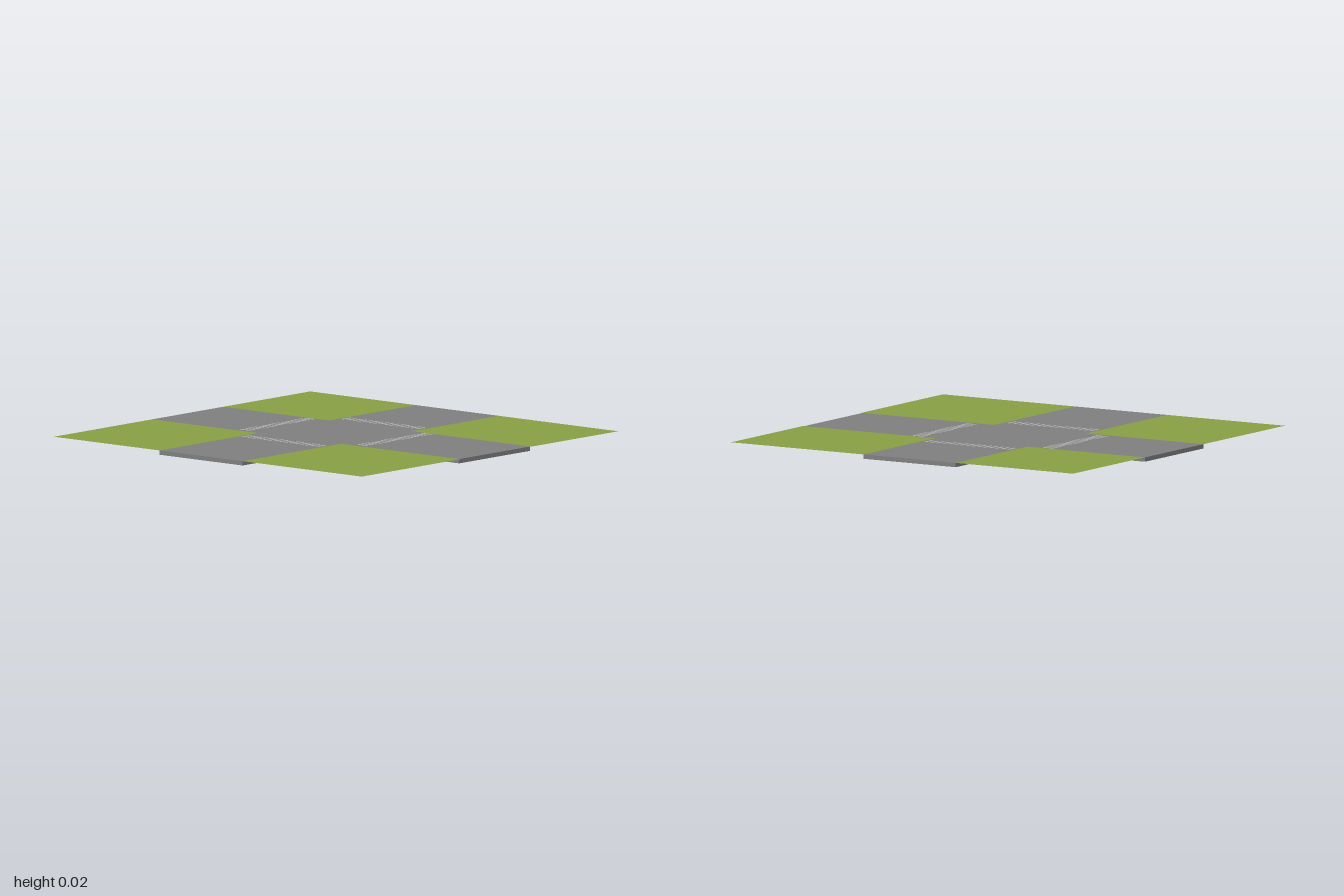
import * as THREE from 'three';

const X0 = -1, X1 = 1, ROAD_X1 = 0.993, Z = 0.973; // outer edges
const A = -0.313, B = 0.226;                       // road edges, both axes
const TOP = 0.022;                                 // slab top

const mat = (color, side = THREE.FrontSide) =>
  new THREE.MeshStandardMaterial({ color, side });

export function createModel() {
  const model = new THREE.Group();
  const add = (parent, name, geometry, material, x = 0, y = 0, z = 0) => {
    const mesh = new THREE.Mesh(geometry, material);
    mesh.name = name;
    mesh.position.set(x, y, z);
    parent.add(mesh);
    return mesh;
  };

  // Cross-shaped road slab, drawn in plan (x, -z) and laid flat
  const outline = [
    [A, -Z], [B, -Z], [B, -B], [ROAD_X1, -B], [ROAD_X1, -A], [B, -A],
    [B, Z], [A, Z], [A, -A], [X0, -A], [X0, -B], [A, -B],
  ].map(([x, y]) => new THREE.Vector2(x, y));
  const slab = new THREE.ExtrudeGeometry(new THREE.Shape(outline), {
    depth: TOP - 0.0004, bevelEnabled: false,
  });
  slab.rotateX(-Math.PI / 2);
  add(model, 'road', slab, mat(0x808080), 0, 0.0004, 0);

  // Thin grass sheets in the four corners, level with the road surface
  const grassMat = mat(0x88a044, THREE.DoubleSide);
  const grass = new THREE.Group();
  grass.name = 'grass';
  model.add(grass);
  for (const [sideX, x0, x1] of [['Right', X0, A], ['Left', B, X1]]) {
    for (const [sideZ, z0, z1] of [['back', -Z, A], ['front', B, Z]]) {
      const sheet = new THREE.PlaneGeometry(x1 - x0, z1 - z0).rotateX(-Math.PI / 2);
      add(grass, `${sideZ}${sideX}Grass`, sheet, grassMat, (x0 + x1) / 2, TOP, (z0 + z1) / 2);
    }
  }

  // Zebra crossings: 15 bars through the slab, across each arm
  const barMat = mat(0xb4b4b4);
  const COUNT = 15, PITCH = 0.0344, WIDTH = 0.016, LENGTH = 0.066, H = TOP + 0.0005;
  const crossing = (name, alongX, offset, start) => {
    const group = new THREE.Group();
    group.name = name;
    const bar = alongX
      ? new THREE.BoxGeometry(WIDTH, H, LENGTH)
      : new THREE.BoxGeometry(LENGTH, H, WIDTH);
    for (let i = 0; i < COUNT; i++) {
      const t = start + i * PITCH;
      add(group, 'crossingBar', bar, barMat, alongX ? t : offset, H / 2, alongX ? offset : t);
    }
    model.add(group);
  };
  crossing('backCrossing', true, -0.417, -0.286);
  crossing('frontCrossing', true, 0.343, -0.286);
  crossing('rightCrossing', false, -0.425, -0.294);
  crossing('leftCrossing', false, 0.337, -0.294);

  return model;
}
